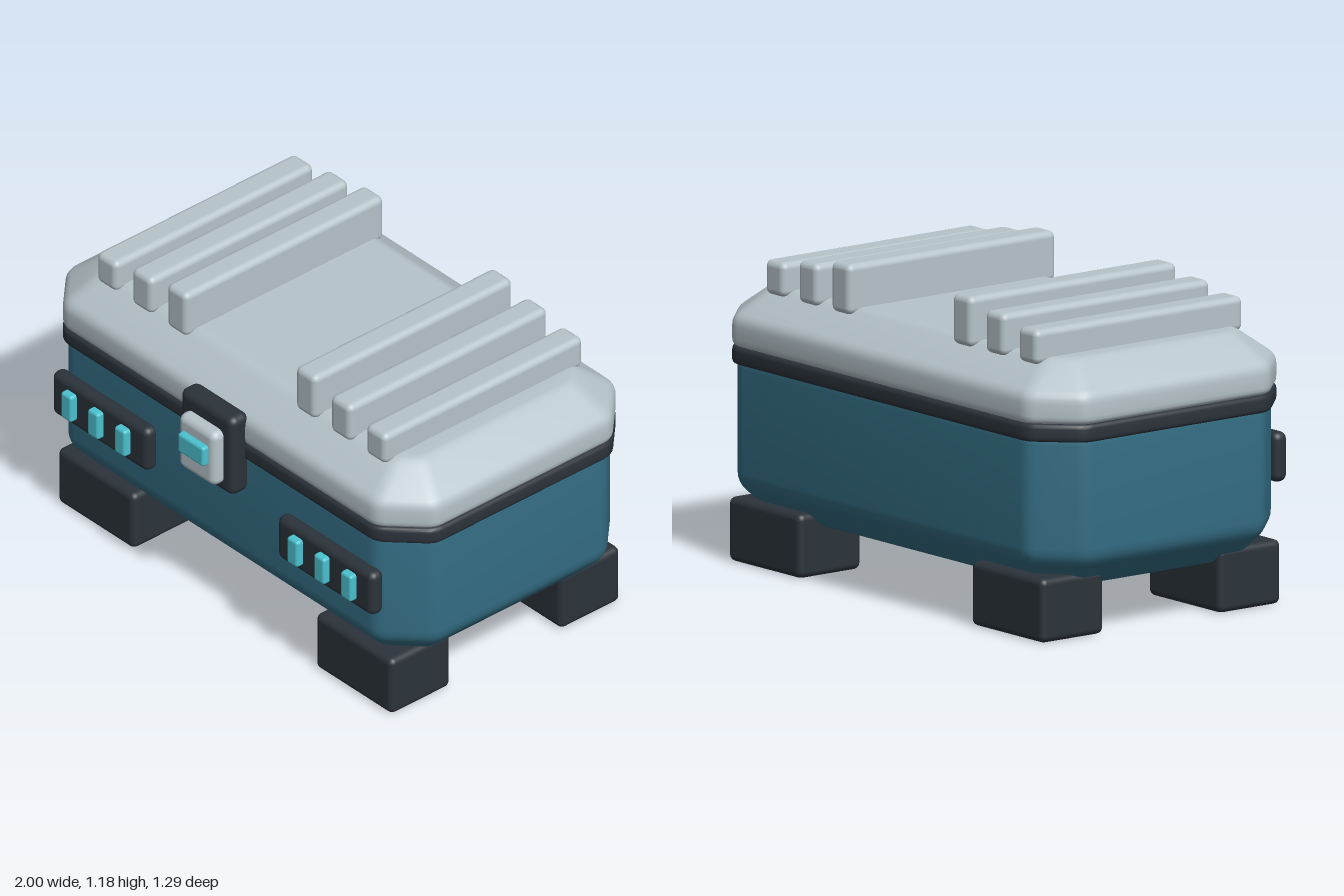
import * as THREE from 'three';
import { toCreasedNormals } from 'three/addons/utils/BufferGeometryUtils.js';
import { RoundedBoxGeometry } from 'three/addons/geometries/RoundedBoxGeometry.js';

const MID_Z = -0.067;

function material(name, color) {
  const m = new THREE.MeshStandardMaterial({ color });
  m.name = name;
  return m;
}

// Replace every corner of a polyline by a small curve
function roundCorners(points, radius, closed) {
  const n = points.length, out = [];
  points.forEach((p, i) => {
    if (!closed && (i === 0 || i === n - 1)) { out.push(p); return; }
    const prev = points[(i + n - 1) % n], next = points[(i + 1) % n];
    const towards = q => p.clone().lerp(q, Math.min(0.4, radius / p.distanceTo(q)));
    out.push(...new THREE.QuadraticBezierCurve(towards(prev), p, towards(next)).getPoints(4));
  });
  return out;
}

// Octagonal outline, offset inwards
function outline(hx, hz, cut, inset) {
  const x = hx - inset, z = hz - inset, c = cut - inset * 0.586;
  const corners = [[x, z - c], [x - c, z], [-x + c, z], [-x, z - c],
    [-x, -z + c], [-x + c, -z], [x - c, -z], [x, -z + c]];
  return roundCorners(corners.map(p => new THREE.Vector2(...p)), 0.035, true);
}

// Solid from a bottom-to-top profile of [inset, y]
function octagonShell(hx, hz, cut, profile, radius) {
  const levels = roundCorners(profile.map(p => new THREE.Vector2(...p)), radius, false);
  const pos = [], index = [];
  let n = 0;
  for (const level of levels) {
    const ring = outline(hx, hz, cut, level.x);
    n = ring.length;
    for (const p of ring) pos.push(p.x, level.y, p.y);
  }
  for (let j = 0; j < levels.length - 1; j++) {
    for (let i = 0; i < n; i++) {
      const k = (i + 1) % n, a = j * n + i, b = j * n + k;
      index.push(a, a + n, b, b, a + n, b + n);
    }
  }
  // Caps
  const bottom = pos.length / 3, top = bottom + 1, last = (levels.length - 1) * n;
  pos.push(0, levels[0].y, 0, 0, levels[levels.length - 1].y, 0);
  for (let i = 0; i < n; i++) {
    const k = (i + 1) % n;
    index.push(bottom, i, k, top, last + k, last + i);
  }
  const g = new THREE.BufferGeometry();
  g.setAttribute('position', new THREE.Float32BufferAttribute(pos, 3));
  g.setIndex(index);
  return toCreasedNormals(g, 0.6);
}

export function createModel() {
  const group = new THREE.Group();
  group.name = 'toolChest';
  const teal = material('teal shell', 0x346e85);
  const grey = material('light grey', 0xb6c4ca);
  const dark = material('dark rubber', 0x2b333a);
  const cyan = material('cyan accent', 0x4bc2d0);

  function add(name, geometry, mat, parent = group) {
    const mesh = new THREE.Mesh(geometry, mat);
    mesh.name = name;
    parent.add(mesh);
    return mesh;
  }
  // Rounded box given by its extents
  function box(name, mat, [x0, x1], [y0, y1], [z0, z1], radius, parent) {
    const g = new RoundedBoxGeometry(x1 - x0, y1 - y0, z1 - z0, 3, radius);
    const mesh = add(name, g, mat, parent);
    mesh.position.set((x0 + x1) / 2, (y0 + y1) / 2, (z0 + z1) / 2);
  }

  // Chest shell, seal and lid
  const shells = [
    ['body', teal, 0.985, 0.565, 0.04, [[0.17, 0.18], [0.12, 0.18], [0, 0.3], [0, 0.76], [0.04, 0.76]]],
    ['seal', dark, 1, 0.578, 0.018, [[0.06, 0.735], [0, 0.735], [0, 0.802], [0.06, 0.802]]],
    ['lid', grey, 1, 0.578, 0.03, [[0.06, 0.8], [0, 0.8], [0, 0.905], [0.145, 1.015], [0.19, 1.015]]],
  ];
  for (const [name, mat, hx, hz, radius, profile] of shells) {
    add(name, octagonShell(hx, hz, 0.155, profile, radius), mat).position.z = MID_Z;
  }

  for (const side of [-1, 1]) {
    const label = side > 0 ? 'left' : 'right';
    const span = (centre, width) => [side * centre - width / 2, side * centre + width / 2];

    // Feet
    box(label + 'FrontFoot', dark, span(0.697, 0.416), [0, 0.236], [0.198, 0.485], 0.025);
    box(label + 'BackFoot', dark, span(0.697, 0.416), [0, 0.236], [-0.615, -0.328], 0.025);

    // Lid ribs, taller towards the middle
    [[0.727, 1.118], [0.537, 1.146], [0.348, 1.176]].forEach(([x, top], i) =>
      box(label + 'LidRib' + (i + 1), grey, span(x, 0.11), [0.99, top], [-0.545, 0.408], 0.025));

    // Front light panel
    const panel = new THREE.Group();
    panel.name = label + 'LightPanel';
    group.add(panel);
    box('panelPlate', dark, span(0.609, 0.52), [0.434, 0.618], [0.483, 0.546], 0.028, panel);
    for (const dx of [-0.145, 0, 0.145]) {
      box('panelLight', cyan, span(0.611 + dx, 0.058), [0.472, 0.584], [0.535, 0.575], 0.012, panel);
    }
  }

  // Front latch
  const latch = new THREE.Group();
  latch.name = 'latch';
  group.add(latch);
  box('latchPlate', dark, [-0.144, 0.144], [0.595, 0.931], [0.485, 0.574], 0.03, latch);
  box('latchClasp', grey, [-0.1, 0.1], [0.635, 0.867], [0.552, 0.622], 0.03, latch);
  box('latchButton', cyan, [-0.07, 0.07], [0.725, 0.808], [0.61, 0.648], 0.012, latch);

  return group;
}
